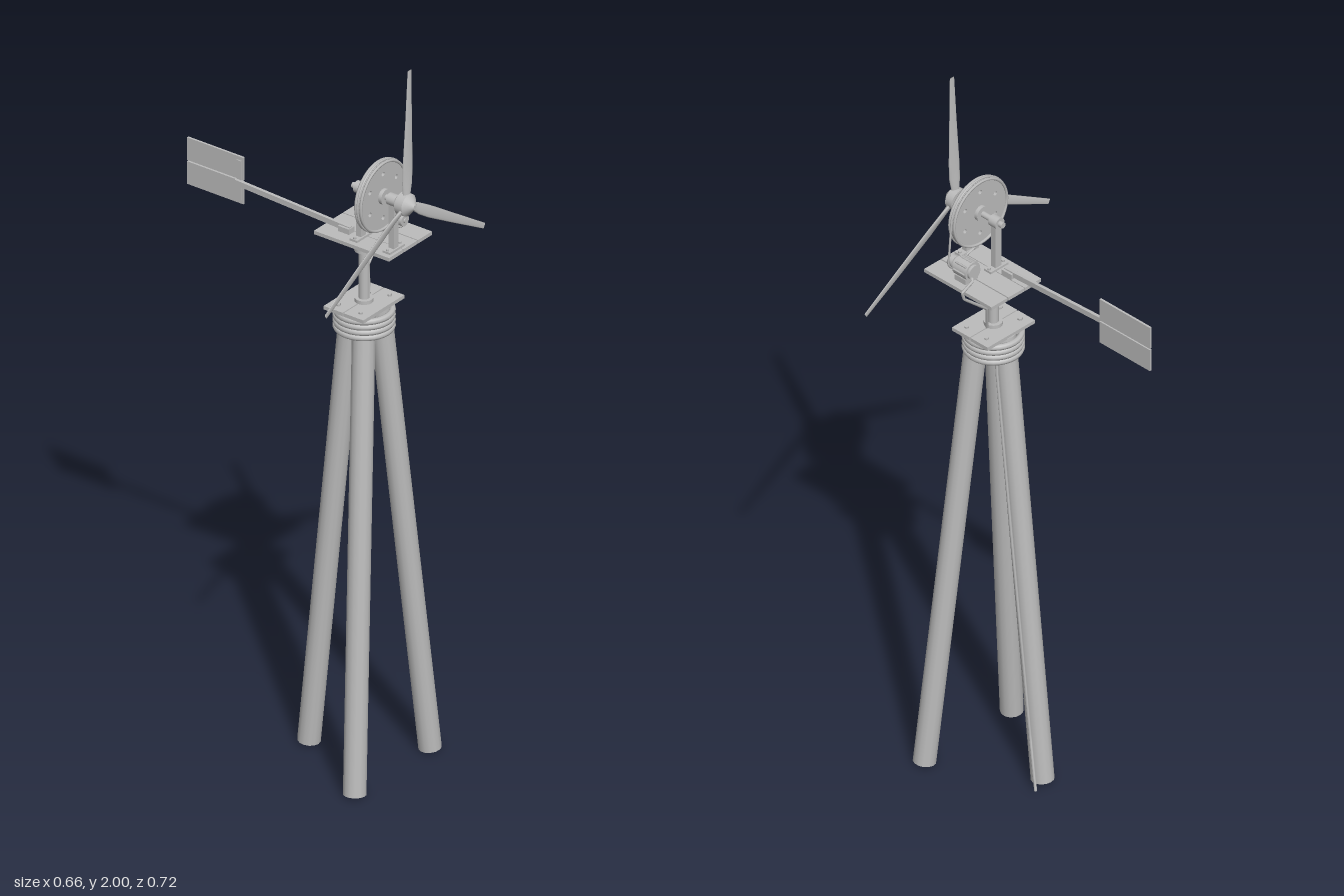
import * as THREE from 'three';
import { mergeVertices } from 'three/addons/utils/BufferGeometryUtils.js';

const V = (x, y, z) => new THREE.Vector3(x, y, z);

export function createModel() {
  const root = new THREE.Group();
  root.name = 'windTurbine';
  const grey = new THREE.MeshStandardMaterial({ color: 0xbcbcbc });
  grey.name = 'plainGrey';

  const add = (name, geometry, x = 0, y = 0, z = 0, parent = root) => {
    const mesh = new THREE.Mesh(geometry, grey);
    mesh.name = name;
    mesh.position.set(x, y, z);
    parent.add(mesh);
    return mesh;
  };
  const box = (name, x0, x1, y0, y1, z0, z1) =>
    add(name, new THREE.BoxGeometry(x1 - x0, y1 - y0, z1 - z0), (x0 + x1) / 2, (y0 + y1) / 2, (z0 + z1) / 2);
  // Cylinder running between two points
  const rod = (name, a, b, radius, sides = 16, endRadius = radius) => {
    const mesh = add(name, new THREE.CylinderGeometry(endRadius, radius, a.distanceTo(b), sides));
    mesh.position.copy(a).lerp(b, 0.5);
    mesh.quaternion.setFromUnitVectors(V(0, 1, 0), b.clone().sub(a).normalize());
    return mesh;
  };
  const alongZ = (name, x, y, z0, z1, r, sides = 20, endR = r) => rod(name, V(x, y, z0), V(x, y, z1), r, sides, endR);
  const cable = (name, points, radius) => {
    const path = new THREE.CurvePath();
    for (let i = 1; i < points.length; i++) path.add(new THREE.LineCurve3(points[i - 1], points[i]));
    return add(name, new THREE.TubeGeometry(path, points.length * 10, radius, 6));
  };

  const cx = 0.004, axisY = 1.625;

  // Tripod legs
  rod('legRight', V(-0.152, 0.003, 0.29), V(-0.026, 1.298, 0.223), 0.03, 14);
  rod('legLeft', V(0.157, 0.003, 0.29), V(0.036, 1.298, 0.223), 0.03, 14);
  rod('legBack', V(0.004, 0.003, 0.027), V(0.004, 1.298, 0.162), 0.03, 14);

  // Binding wound round the leg tops
  for (let i = 0; i < 4; i++) {
    const ring = add('binding', new THREE.TorusGeometry(0.071, 0.0085, 8, 32), cx, 1.24 + i * 0.015, 0.2);
    ring.rotation.x = Math.PI / 2;
  }

  // Lower deck of two planks, with bolts
  box('lowerPlank', -0.08, 0.088, 1.298, 1.308, 0.137, 0.197);
  box('lowerPlank', -0.08, 0.088, 1.298, 1.308, 0.2, 0.262);
  for (const x of [-0.055, 0.063]) for (const z of [0.165, 0.235])
    rod('deckBolt', V(x, 1.306, z), V(x, 1.313, z), 0.006, 6);

  // Mast and swivel collar
  rod('mast', V(cx, 1.3, 0.2), V(cx, 1.476, 0.2), 0.014);
  rod('mastFoot', V(cx, 1.308, 0.2), V(cx, 1.318, 0.2), 0.024);
  rod('swivelCollar', V(cx, 1.452, 0.2), V(cx, 1.476, 0.2), 0.025);

  // Upper deck of three planks
  for (const x of [-0.041, 0.018, 0.078])
    box('upperPlank', x, x + 0.057, 1.475, 1.485, 0.077, 0.313);

  // Bearing stands and rotor shaft
  for (const z of [0.19, 0.293]) {
    box('standFoot', cx - 0.031, cx + 0.031, 1.485, 1.491, z - 0.012, z + 0.012);
    box('stand', cx - 0.01, cx + 0.01, 1.488, axisY, z - 0.008, z + 0.008);
    alongZ('bearing', cx, axisY, z - 0.013, z + 0.013, 0.016);
    for (const x of [cx - 0.025, cx + 0.025])
      rod('footBolt', V(x, 1.488, z), V(x, 1.496, z), 0.0045, 6);
  }
  alongZ('shaft', cx, axisY, 0.165, 0.335, 0.008);
  alongZ('wheelBoss', cx, axisY, 0.236, 0.27, 0.021);

  // Drive wheel with lightening holes and rims
  const disc = new THREE.Shape().absarc(0, 0, 0.094, 0, Math.PI * 2);
  for (let i = 0; i < 6; i++) {
    const a = (i + 0.5) * Math.PI / 3;
    disc.holes.push(new THREE.Path().absarc(Math.cos(a) * 0.062, Math.sin(a) * 0.062, 0.006, 0, Math.PI * 2, true));
  }
  add('driveWheel', new THREE.ExtrudeGeometry(disc, { depth: 0.014, bevelEnabled: false, curveSegments: 24 }), cx, axisY, 0.246);
  for (const z of [0.245, 0.261])
    add('wheelRim', new THREE.TorusGeometry(0.093, 0.004, 6, 48), cx, axisY, z);

  // Generator with end caps, base and pulley
  const gx = 0.091, gy = 1.518;
  alongZ('generator', gx, gy, 0.186, 0.232, 0.026);
  alongZ('generatorCap', gx, gy, 0.179, 0.186, 0.02);
  alongZ('generatorCap', gx, gy, 0.232, 0.239, 0.02);
  for (let i = 0; i < 8; i++) {
    const a = i * Math.PI / 4;
    alongZ('generatorRib', gx + Math.cos(a) * 0.026, gy + Math.sin(a) * 0.026, 0.19, 0.228, 0.003, 6);
  }
  box('generatorBase', gx - 0.022, gx + 0.022, 1.484, 1.5, 0.19, 0.228);
  alongZ('generatorShaft', gx, gy, 0.235, 0.265, 0.006, 12);
  alongZ('generatorPulley', gx, gy, 0.245, 0.262, 0.016);

  // Belt looped round wheel and pulley
  const dx = gx - cx, dy = gy - axisY, heading = Math.atan2(dy, dx);
  const open = Math.acos((0.096 - 0.018) / Math.hypot(dx, dy));
  const beltPoints = [];
  const arc = (x, y, r, from, to, n) => {
    for (let i = 0; i <= n; i++) {
      const a = heading + from + (to - from) * i / n;
      beltPoints.push(V(x + r * Math.cos(a), y + r * Math.sin(a), 0.253));
    }
  };
  arc(cx, axisY, 0.096, open, Math.PI * 2 - open, 36);
  arc(gx, gy, 0.018, -open, open, 8);
  beltPoints.push(beltPoints[0].clone());
  cable('belt', beltPoints, 0.003);

  // Rotor: hub, nose cone and three tapered, twisted blades
  alongZ('hub', cx, axisY, 0.317, 0.34, 0.03, 24);
  alongZ('noseCone', cx, axisY, 0.34, 0.36, 0.03, 24, 0.006);
  const blade = bladeGeometry();
  for (let i = 0; i < 3; i++)
    add('blade', blade, cx, axisY, 0.333).rotation.z = i * Math.PI * 2 / 3;

  // Tail boom, bracket and two-panel vane
  const boom = box('tailBoom', -0.0045, 0.0045, -0.0075, 0.0075, -0.181, 0.181);
  boom.position.set(0.005, 1.503, -0.024);
  boom.rotation.x = 0.045;
  box('tailBracket', -0.006, 0.016, 1.484, 1.5, 0.125, 0.16);
  box('tailVane', 0.011, 0.017, 1.518, 1.582, -0.362, -0.185);
  box('tailVane', 0.011, 0.017, 1.45, 1.514, -0.362, -0.185);
  box('vaneStrap', 0.008, 0.012, 1.46, 1.572, -0.204, -0.19);

  // Power cable from generator to mast, then down the back leg
  cable('upperCable', [V(0.1, 1.505, 0.18), V(0.105, 1.5, 0.174), V(0.146, 1.488, 0.169), V(0.138, 1.465, 0.17),
    V(0.047, 1.385, 0.18), V(0.026, 1.305, 0.2)], 0.004);
  cable('lowerCable', [V(0.03, 1.3, 0.165), V(0.037, 1.2, 0.155), V(0.038, 0.7, 0.1), V(0.038, 0.14, 0.036),
    V(0.056, 0.004, 0)], 0.004);
  return root;
}

// Blade pointing up, lofted through lens-shaped sections
function bladeGeometry() {
  // radius, trailing edge x, leading edge x, thickness, twist
  const sections = [
    [0.015, -0.009, 0.009, 0.012, 0.45],
    [0.06, -0.012, 0.018, 0.009, 0.32],
    [0.11, -0.011, 0.021, 0.007, 0.22],
    [0.24, -0.003, 0.021, 0.005, 0.1],
    [0.375, 0.005, 0.02, 0.003, 0.03],
  ];
  const n = 12, pos = [], idx = [];
  sections.forEach(([r, x0, x1, thick, twist], s) => {
    const mid = (x0 + x1) / 2, half = (x1 - x0) / 2;
    for (let i = 0; i < n; i++) {
      const t = i / n * Math.PI * 2, u = half * Math.cos(t), w = thick / 2 * Math.sin(t);
      pos.push(mid + u * Math.cos(twist) - w * Math.sin(twist), r, u * Math.sin(twist) + w * Math.cos(twist));
      const a = s * n + i, b = s * n + (i + 1) % n;
      if (s < sections.length - 1) idx.push(a, a + n, b, b, a + n, b + n);
      else if (i > 0 && i < n - 1) idx.push(s * n, b, a);
    }
  });
  const g = new THREE.BufferGeometry();
  g.setAttribute('position', new THREE.Float32BufferAttribute(pos, 3));
  g.setIndex(idx);
  const merged = mergeVertices(g, 1e-6);
  merged.computeVertexNormals();
  return merged;
}
